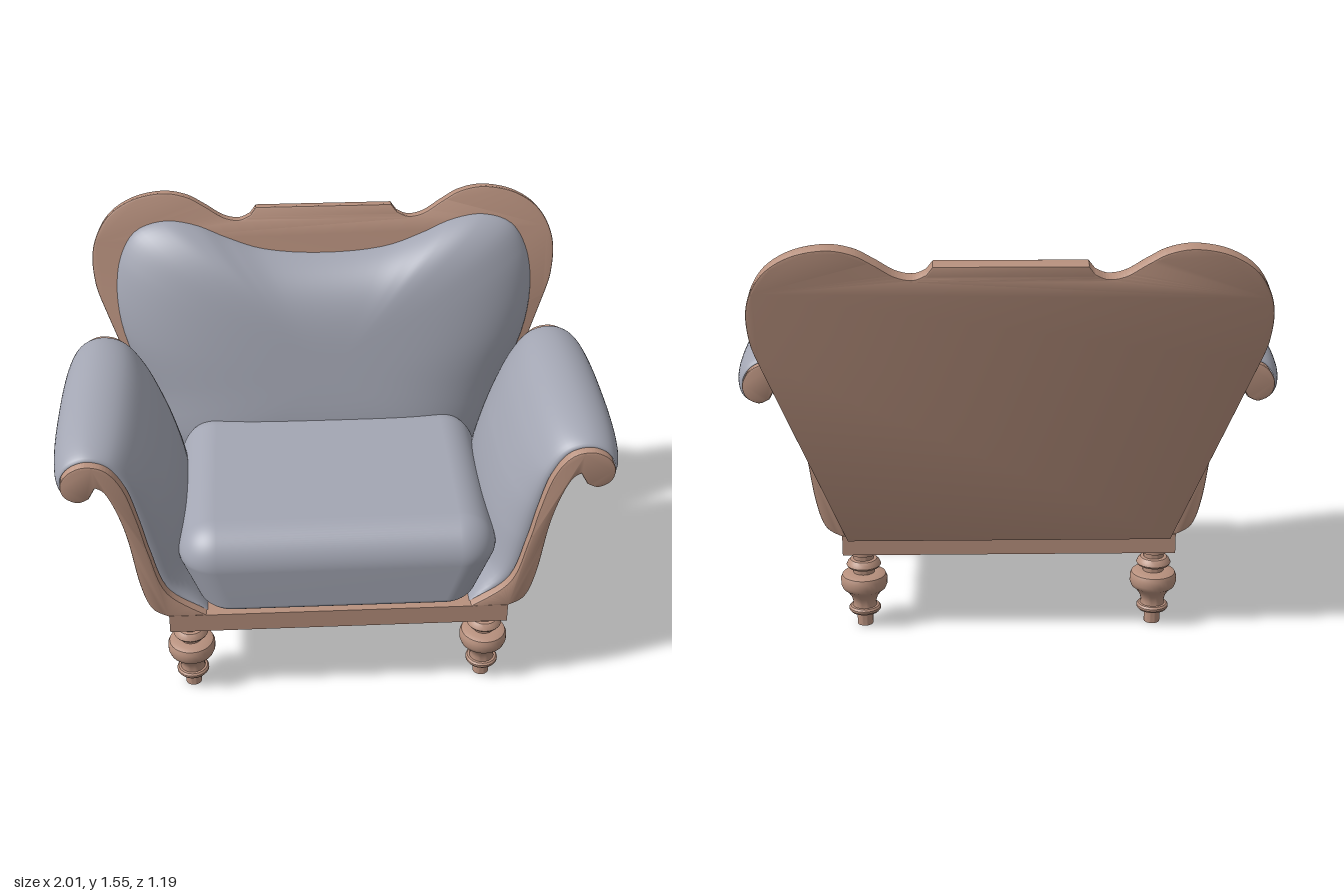
import * as THREE from 'three';
import { toCreasedNormals, mergeVertices } from 'three/addons/utils/BufferGeometryUtils.js';
import { RoundedBoxGeometry } from 'three/addons/geometries/RoundedBoxGeometry.js';
import { ParametricGeometry } from 'three/addons/geometries/ParametricGeometry.js';

const wood = new THREE.MeshStandardMaterial({ color: 0xb8917e });
const fabric = new THREE.MeshStandardMaterial({ color: 0xa3a6b3, side: THREE.DoubleSide });

const v2 = (list) => list.map(([x, y]) => new THREE.Vector2(x, y));

function part(name, geometry, material, x = 0, y = 0, z = 0) {
  const mesh = new THREE.Mesh(geometry, material);
  mesh.name = name;
  mesh.position.set(x, y, z);
  return mesh;
}

// Extruded board with a fine bevel; spans z = 0..depth
function board(shape, depth) {
  const b = 0.008;
  const geo = new THREE.ExtrudeGeometry(shape, {
    depth: depth - 2 * b, bevelThickness: b, bevelSize: b, bevelOffset: -b, bevelSegments: 2, curveSegments: 48,
  });
  geo.translate(0, 0, b);
  return toCreasedNormals(geo, 0.5);
}

// Turned leg
function legGeometry() {
  const profile = v2([
    [0, 0], [0.03, 0], [0.03, 0.052], [0.054, 0.054], [0.06, 0.062], [0.06, 0.07], [0.054, 0.077],
    [0.046, 0.078], [0.044, 0.095], [0.05, 0.115], [0.065, 0.138], [0.082, 0.152], [0.088, 0.168],
    [0.088, 0.192], [0.082, 0.206], [0.066, 0.213], [0.04, 0.214], [0.04, 0.236], [0.06, 0.238],
    [0.065, 0.246], [0.06, 0.258], [0.05, 0.268], [0.038, 0.27], [0.038, 0.292], [0.055, 0.293], [0.055, 0.325],
  ]);
  return toCreasedNormals(new THREE.LatheGeometry(profile, 32), 0.6);
}

// Arm contour from under the scroll, over the top and down the inside: x, y, padding thickness
const armContour = [
  [0.865, 0.925, 0], [0.905, 0.91, 0.03], [0.95, 0.935, 0.04], [0.96, 0.985, 0.04], [0.93, 1.035, 0.046],
  [0.87, 1.06, 0.05], [0.80, 1.04, 0.06], [0.745, 0.96, 0.075], [0.705, 0.82, 0.105],
  [0.675, 0.68, 0.12], [0.62, 0.5, 0.1], [0.48, 0.39, 0],
];
const armZ = 0.1425;

function armFrameGeometry() {
  const shape = new THREE.Shape();
  shape.moveTo(armContour[0][0], armContour[0][1]);
  shape.splineThru(v2(armContour.slice(1)));
  shape.lineTo(0.62, 0.388);
  shape.splineThru(v2([[0.68, 0.43], [0.715, 0.54], [0.745, 0.74], [0.775, 0.86], [0.81, 0.945], [0.84, 0.97]]));
  const geo = board(shape, 0.895);
  geo.translate(0, 0, -0.4475);
  return geo;
}

// Padding swells off the contour and is pinched at both ends
function armPadGeometry() {
  const curve = new THREE.CatmullRomCurve3(armContour.map((p) => new THREE.Vector3(...p)));
  return new ParametricGeometry((u, v, target) => {
    const p = curve.getPoint(u);
    const t = curve.getTangent(u);
    const len = Math.hypot(t.x, t.y);
    const s = Math.sin((v - 0.5) * Math.PI);
    const swell = 0.002 + Math.max(p.z, 0) * Math.sqrt(Math.max(0, 1 - Math.abs(s) ** 2.5));
    target.set(p.x + (t.y / len) * swell, p.y - (t.x / len) * swell, s * 0.4175);
  }, 72, 32);
}

// Seat cushion: soft box with a flattened underside, narrower at the bottom
function seatGeometry() {
  const soft = new RoundedBoxGeometry(1.16, 0.465, 0.9, 10, 0.14);
  soft.deleteAttribute('normal');
  soft.deleteAttribute('uv');
  const geo = mergeVertices(soft, 1e-4);
  const pos = geo.attributes.position;
  for (let i = 0; i < pos.count; i++) {
    let y = pos.getY(i) + 0.4925;
    if (y < 0.45) y = 0.385 + (y - 0.26) * 0.34;
    const k = THREE.MathUtils.smoothstep(y, 0.36, 0.62);
    pos.setXYZ(i, pos.getX(i) * (0.86 + 0.14 * k), y, pos.getZ(i) + 0.148);
  }
  geo.computeVertexNormals();
  return geo;
}

const tilt = 0.232;
const alongBack = (list) => list.map(([x, y]) => [x, (y - 0.389) / Math.cos(tilt)]);
const mirrored = (list) => list.map(([x, y]) => [-x, y]).reverse();

// Backboard with two round lobes and a flat crest
function backboardGeometry() {
  const lobe = alongBack([
    [0.865, 1.11], [0.893, 1.2], [0.9, 1.31], [0.875, 1.4], [0.82, 1.475], [0.73, 1.527], [0.62, 1.547],
    [0.53, 1.532], [0.46, 1.495], [0.39, 1.452], [0.33, 1.44], [0.285, 1.457],
  ]);
  const crest = alongBack([[0.262, 1.487]])[0];
  const shape = new THREE.Shape();
  shape.moveTo(-0.6, 0);
  shape.lineTo(0.6, 0);
  shape.lineTo(...lobe[0]);
  shape.splineThru(v2(lobe.slice(1)));
  shape.lineTo(...crest);
  shape.lineTo(-crest[0], crest[1]);
  const left = mirrored(lobe);
  shape.lineTo(...left[0]);
  shape.splineThru(v2(left.slice(1)));
  shape.closePath();
  return board(shape, 0.06);
}

// Back cushion: rings of the outline shrinking to a domed centre
function backCushionGeometry() {
  const half = alongBack([
    [0.35, 0.45], [0.58, 0.52], [0.7, 0.78], [0.79, 1.0], [0.812, 1.17], [0.79, 1.31], [0.73, 1.405],
    [0.62, 1.442], [0.5, 1.425], [0.38, 1.375], [0.24, 1.328],
  ]);
  const top = alongBack([[0, 1.308]]);
  const points = [...half, ...top, ...mirrored(half)].map(([x, y]) => new THREE.Vector3(x, y, 0));
  const outline = new THREE.CatmullRomCurve3(points, true);
  const centre = new THREE.Vector3(0, alongBack([[0, 0.86]])[0][1], 0);
  return new ParametricGeometry((u, v, target) => {
    const s = Math.max(1 - v ** 1.6, 0.001);
    target.lerpVectors(centre, outline.getPoint(u), s);
    target.z = 0.06 + 0.165 * (1 - s ** 4) ** 0.7;
  }, 96, 24);
}

export function createModel() {
  const model = new THREE.Group();
  model.name = 'armchair';

  model.add(part('baseRail', new THREE.BoxGeometry(1.24, 0.075, 0.9), wood, 0, 0.3555, 0.14));
  model.add(part('seatCushion', seatGeometry(), fabric));

  const leg = legGeometry();
  for (const x of [-0.55, 0.55]) {
    for (const z of [-0.22, 0.5]) model.add(part('leg', leg, wood, x, 0, z));
  }

  // Each arm is symmetric front to back, so a half turn gives the other one
  const frame = armFrameGeometry();
  const pad = armPadGeometry();
  for (const [name, turn] of [['leftArm', 0], ['rightArm', Math.PI]]) {
    const arm = new THREE.Group();
    arm.name = name;
    arm.add(part('armFrame', frame, wood), part('armPad', pad, fabric));
    arm.position.z = armZ;
    arm.rotation.y = turn;
    model.add(arm);
  }

  // Reclined back
  const back = new THREE.Group();
  back.name = 'backrest';
  back.add(part('backboard', backboardGeometry(), wood), part('backCushion', backCushionGeometry(), fabric));
  back.position.set(0, 0.375, -0.32);
  back.rotation.x = -tilt;
  model.add(back);

  return model;
}
